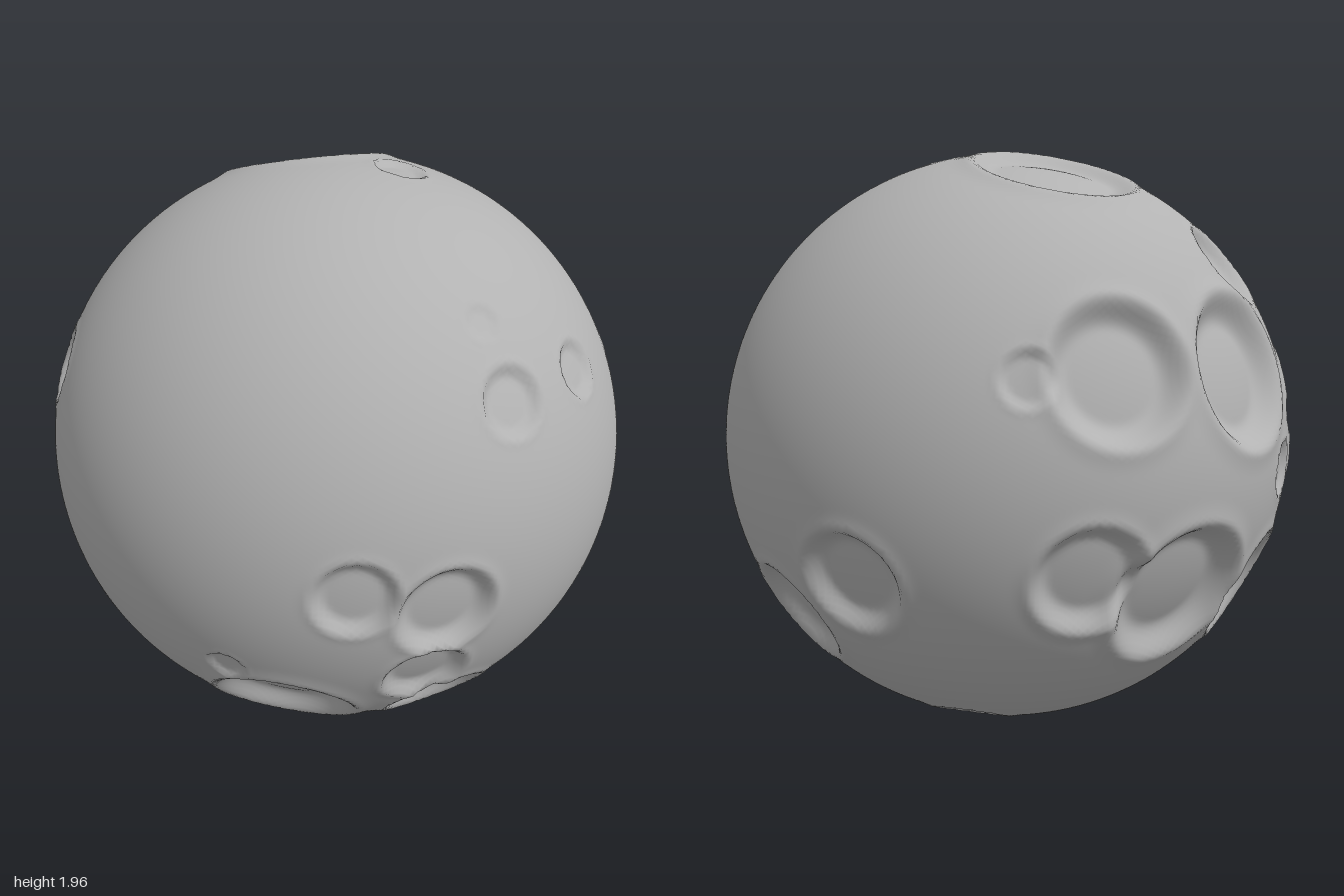
import * as THREE from 'three';
import { mergeVertices } from 'three/addons/utils/BufferGeometryUtils.js';

const RADIUS = 0.98;
const RIM_WIDTH = 0.4, RIM_STEEPNESS = 0.4, SMOOTH = 0.25;
const WIDEST = 0.25;

// Each crater: longitude from the front towards +x, latitude, radius
const craters = [
  // top
  [-142, 70, WIDEST], [115, 78, 0.08],
  // front
  [23, 2, 0.12], [39, -3, 0.15], [37, -20, 0.13], [44, -36, 0.16], [8, -34, 0.22],
  [-52, -31, 0.19], [-17, -61, 0.13], [16, -61, 0.13], [-1, -18, 0.06], [-36, -45, 0.06],
  // +x flank
  [56, 31, 0.1], [78, 30, 0.085], [107, 22, 0.05], [56, 45, 0.05],
  [84, -34, 0.145], [136, -31, 0.18], [160, -19, 0.165],
  // back and -x flank
  [-105, 38, 0.145], [-120, 17, 0.235], [-151, 18, 0.205], [-167, 17, 0.08],
  [-156, -17, 0.165], [-135, -23, 0.23], [-107, -27, 0.19], [-105, -3, 0.085],
  [-96, 6, 0.055], [-81, 5, 0.24], [-61, 21, 0.125],
  // underside
  [85, -83, 0.22], [173, -64, 0.12],
].map(([longitude, latitude, r]) => ({
  dir: new THREE.Vector3().setFromSphericalCoords(
    1, THREE.MathUtils.degToRad(90 - latitude), THREE.MathUtils.degToRad(longitude)),
  r,
  // Small pits are faint, and the widest basin has a shallow flat floor
  depth: r < WIDEST ? Math.min(0.3, 0.1 + 1.4 * r) : 0.16,
}));

// Blended minimum; a negative k gives a blended maximum
function smoothMin(a, b, k) {
  const h = THREE.MathUtils.clamp((b - a + k) / (2 * k), 0, 1);
  return a * h + b * (1 - h) - k * h * (1 - h);
}

// Bowl with a levelled floor and a raised rim fading into the plain
function craterHeight(t, depth) {
  const bowl = smoothMin(t * t - 1, -depth, -SMOOTH);
  const rim = RIM_STEEPNESS * Math.min(t - 1 - RIM_WIDTH, 0) ** 2;
  return smoothMin(bowl, rim, SMOOTH);
}

export function createModel() {
  const rock = new THREE.MeshStandardMaterial({ color: 0xb2b2b2 });
  rock.name = 'grey rock';

  let geometry = new THREE.IcosahedronGeometry(1, 72);
  geometry.deleteAttribute('uv');
  geometry.deleteAttribute('normal');
  geometry = mergeVertices(geometry, 1e-5);

  // Push every vertex in or out by the sum of nearby craters
  const pos = geometry.attributes.position;
  const p = new THREE.Vector3();
  for (let i = 0; i < pos.count; i++) {
    p.fromBufferAttribute(pos, i).normalize();
    let height = 0;
    for (const { dir, r, depth } of craters) {
      const t = p.distanceTo(dir) * RADIUS / r;
      if (t < 1.6) height += craterHeight(t, depth) * r;
    }
    p.multiplyScalar(RADIUS + height);
    pos.setXYZ(i, p.x, p.y, p.z);
  }
  geometry.computeVertexNormals();

  const moon = new THREE.Mesh(geometry, rock);
  moon.name = 'crateredMoon';
  moon.position.set(0.01, 1, 0);

  const group = new THREE.Group();
  group.name = 'moon';
  group.add(moon);
  return group;
}
